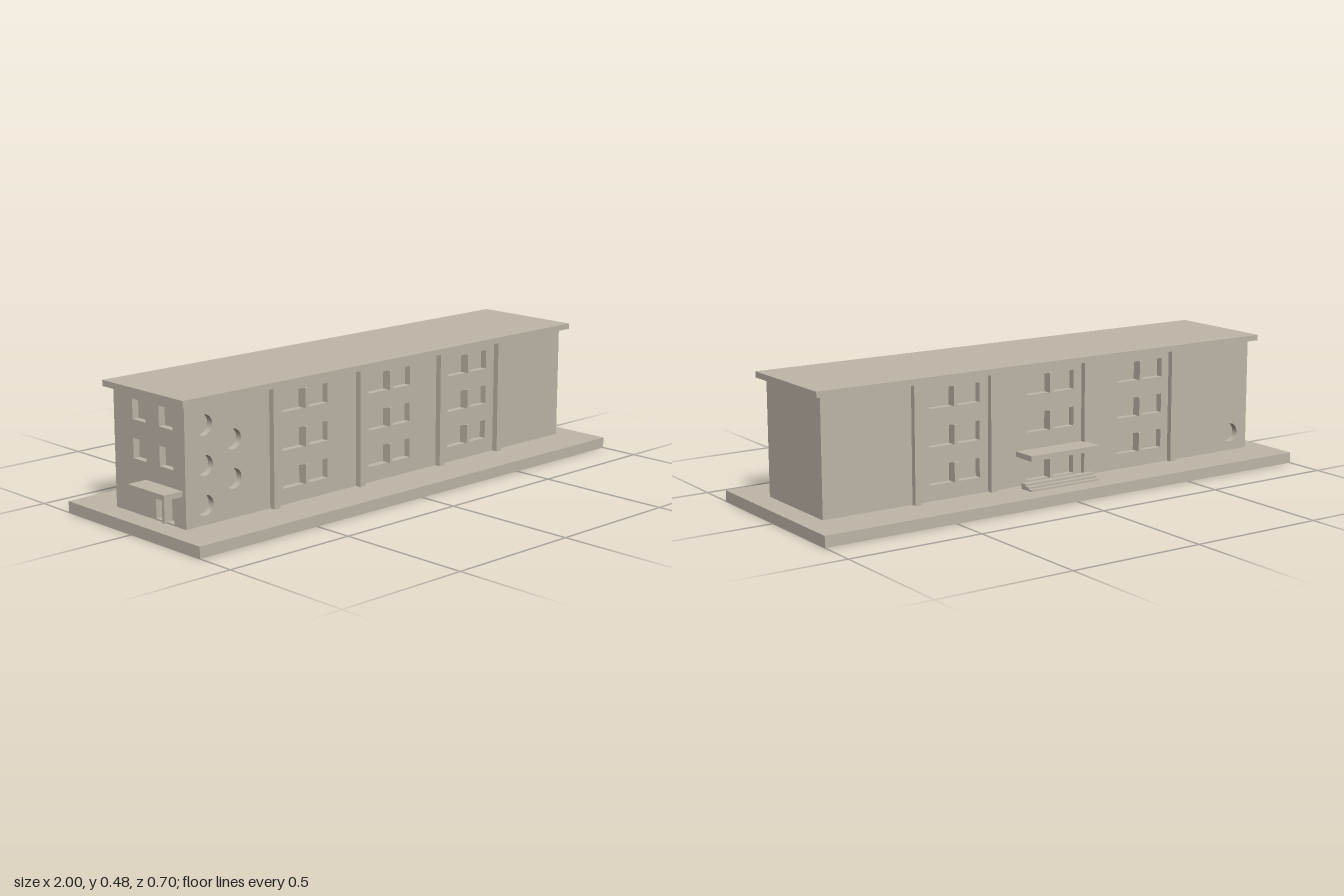
import * as THREE from 'three';

const GROUND = 0.04, EAVES = 0.455;          // wall bottom and top
const WEST = -0.92, EAST = 0.915, WALL = 0.186, DEPTH = 0.025;

export function createModel() {
  const model = new THREE.Group();
  model.name = 'schoolBuilding';
  const stone = new THREE.MeshStandardMaterial({ color: 0xbfb6a8 });
  stone.name = 'warm stone';

  const add = (name, geometry) => {
    const mesh = new THREE.Mesh(geometry, stone);
    mesh.name = name;
    model.add(mesh);
    return mesh;
  };
  // Box given by its limits on each axis
  const box = (name, x0, x1, y0, y1, z0, z1) => {
    const mesh = add(name, new THREE.BoxGeometry(x1 - x0, y1 - y0, z1 - z0));
    mesh.position.set((x0 + x1) / 2, (y0 + y1) / 2, (z0 + z1) / 2);
    return mesh;
  };
  const rect = (x0, x1, y0, y1, Type = THREE.Path) => {
    const p = new Type();
    p.moveTo(x0, y0);
    p.lineTo(x1, y0);
    p.lineTo(x1, y1);
    p.lineTo(x0, y1);
    p.closePath();
    return p;
  };
  const porthole = (x, y) => new THREE.Path().absarc(x, y, 0.035, 0, Math.PI * 2);
  // Wall slab with openings cut through to the core behind it
  const wall = (name, x0, x1, holes) => {
    const shape = rect(x0, x1, GROUND, EAVES, THREE.Shape);
    shape.holes.push(...holes);
    return add(name, new THREE.ExtrudeGeometry(shape, { depth: DEPTH, bevelEnabled: false, curveSegments: 16 }));
  };

  // Ground slab, inner core and flat roof
  box('baseSlab', -1, 1, 0, GROUND, -0.352, 0.352);
  box('core', WEST + DEPTH, EAST, GROUND, EAVES, -WALL + DEPTH, WALL - DEPTH);
  box('roof', -0.945, 0.942, EAVES, 0.476, -0.212, 0.213);

  // Window openings with a centre mullion, on both long sides
  const rows = [[0.096, 0.165], [0.228, 0.297], [0.361, 0.43]];
  const frontHoles = [], backHoles = [];
  for (const x of [-0.4, 0, 0.4]) {
    rows.forEach(([y0, y1], row) => {
      const door = x === 0 && row === 0;
      frontHoles.push(rect(x - 0.102, x + 0.102, y0, y1));
      box('frontMullion', x - 0.007, x + 0.007, y0, y1, WALL - DEPTH, WALL + 0.01);
      const bottom = door ? 0.055 : y0, top = door ? 0.146 : y1;
      backHoles.push(rect(x - 0.102, x + 0.102, bottom, top));
      box(door ? 'doorPost' : 'backMullion', x - 0.007, x + 0.007, bottom, top, -WALL - 0.01, -WALL + DEPTH);
    });
  }
  // Round windows
  for (const [x, y] of [[-0.84, 0.375], [-0.84, 0.241], [-0.84, 0.107], [-0.72, 0.308], [-0.72, 0.174]])
    frontHoles.push(porthole(x, y));
  backHoles.push(porthole(-0.84, 0.107));

  wall('frontWall', WEST, EAST, frontHoles).position.z = WALL - DEPTH;
  wall('backWall', WEST, EAST, backHoles).position.z = -WALL;

  // End wall with four windows and a side door
  const endHoles = [rect(0.03, 0.125, 0.045, 0.14)];
  for (const z of [-0.05, 0.09])
    for (const [y0, y1] of rows.slice(1)) endHoles.push(rect(z - 0.035, z + 0.035, y0, y1));
  const end = wall('endWall', -WALL + DEPTH, WALL - DEPTH, endHoles);
  end.rotation.y = -Math.PI / 2;
  end.position.x = WEST + DEPTH;
  box('sideDoorPost', WEST - 0.008, WEST + DEPTH, GROUND, 0.14, 0.071, 0.083);

  // Pilasters on both long sides
  for (const x of [-0.548, -0.15, 0.25, 0.558]) {
    box('frontPilaster', x - 0.013, x + 0.013, GROUND, EAVES, WALL, 0.208);
    box('backPilaster', x - 0.013, x + 0.013, GROUND, EAVES, -0.206, -WALL);
  }

  // Entrance canopies
  box('backCanopy', -0.15, 0.145, 0.148, 0.167, -0.278, -WALL);
  box('sideCanopy', -0.995, WEST, 0.148, 0.167, -0.02, 0.17);

  // Entrance steps
  [[0.046, -0.278], [0.053, -0.261], [0.06, -0.243]].forEach(([y, z]) =>
    box('entranceStep', -0.15, 0.145, GROUND, y, z, -0.218));

  return model;
}
